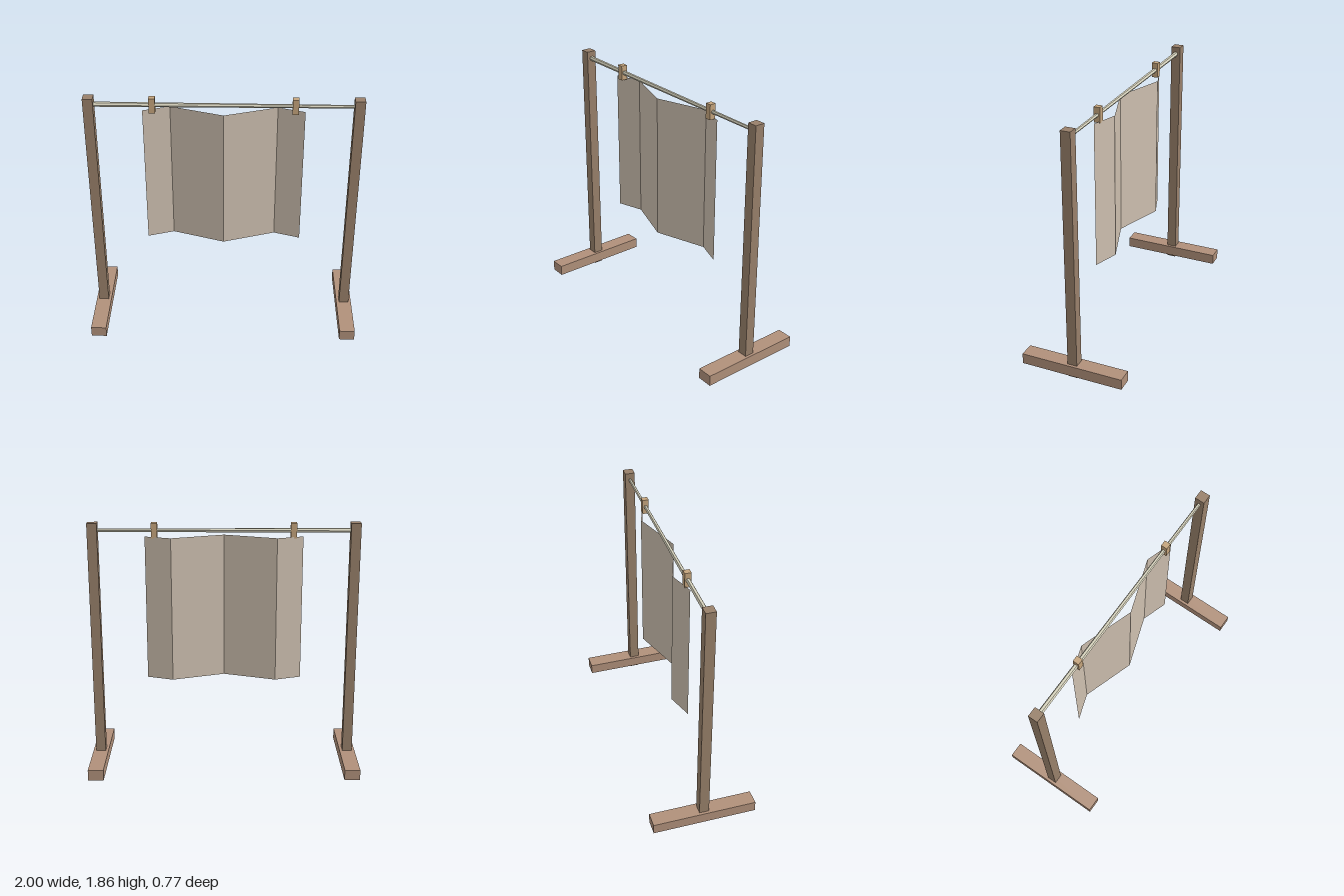
import * as THREE from 'three';

const mat = (color, extra = {}) =>
  new THREE.MeshStandardMaterial({ color, flatShading: true, ...extra });

export function createModel() {
  const group = new THREE.Group();
  const postWood = mat(0x98806a);
  const footWood = mat(0xb0907a);
  const clipWood = mat(0xc4a47c);
  const rodWood = mat(0xd6d2bc);
  const fabric = mat(0xcdbfaf, { side: THREE.DoubleSide });

  const add = (name, geometry, material, x, y, z) => {
    const mesh = new THREE.Mesh(geometry, material);
    mesh.name = name;
    mesh.position.set(x, y, z);
    group.add(mesh);
    return mesh;
  };

  // Mirrored posts, feet and clips
  for (const [side, s] of [['left', 1], ['right', -1]]) {
    add(side + 'Post', new THREE.BoxGeometry(0.072, 1.86, 0.072), postWood, s * 0.943, 0.93, 0);
    add(side + 'Foot', new THREE.BoxGeometry(0.114, 0.08, 0.77), footWood, s * 0.943, 0.06, 0);
    add(side + 'Clip', new THREE.BoxGeometry(0.044, 0.11, 0.046), clipWood, s * 0.5, 1.805, 0);
  }

  // Slightly tapered hanging rod, thicker at its right end
  const rod = add('rod', new THREE.CylinderGeometry(0.018, 0.012, 1.86, 6), rodWood, 0, 1.805, 0);
  rod.rotation.z = Math.PI / 2;

  // Hanging cloth folded in a zigzag across its width
  const columns = 6;
  const depths = [0, -0.064, 0, 0.064, 0, -0.064, 0];
  const cloth = new THREE.PlaneGeometry(1.14, 1.07, columns, 1);
  const pos = cloth.attributes.position;
  for (let i = 0; i < pos.count; i++) pos.setZ(i, depths[i % (columns + 1)]);
  cloth.computeVertexNormals();
  add('cloth', cloth, fabric, 0, 1.225, 0);

  return group;
}
